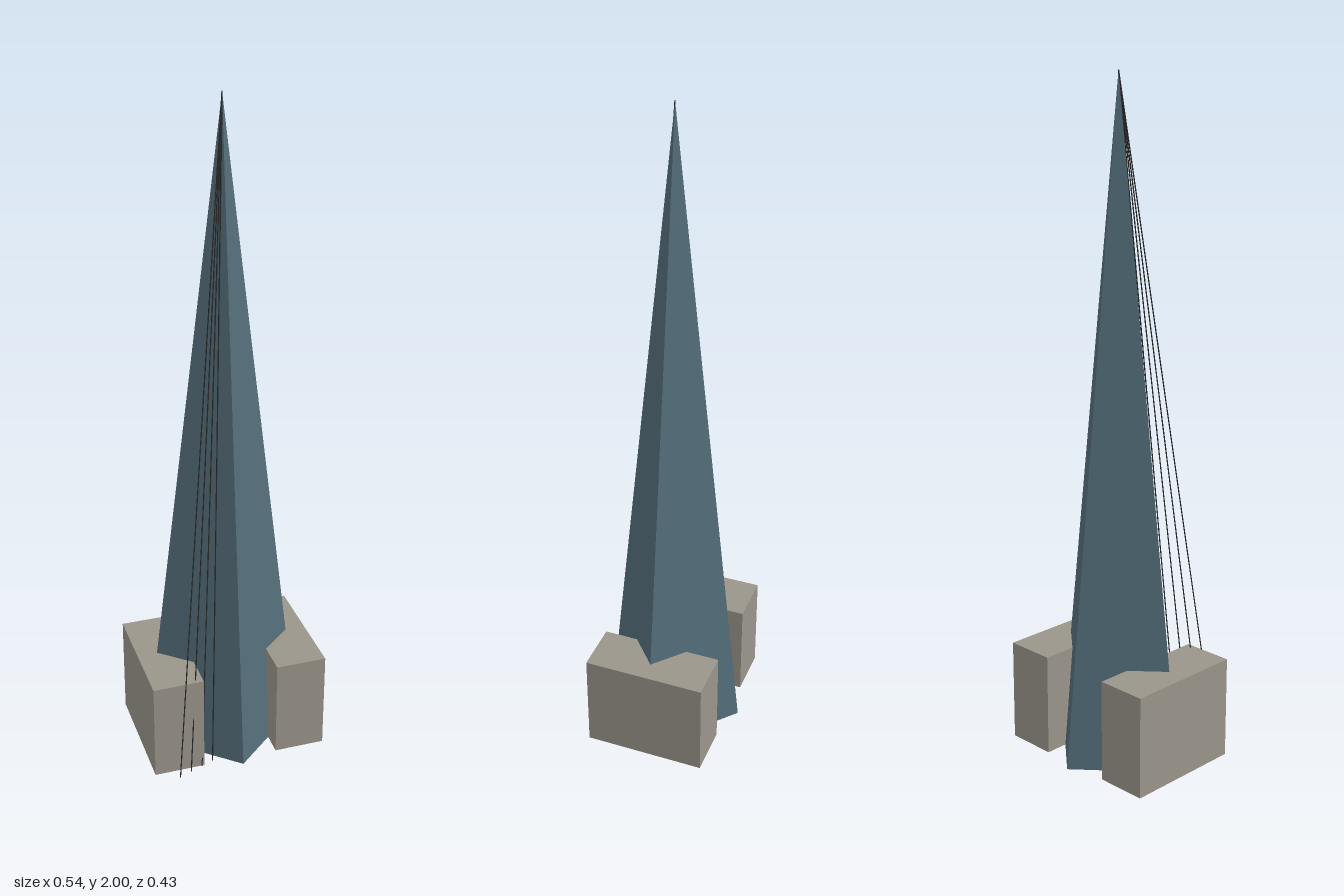
import * as THREE from 'three';

export function createModel() {
  const group = new THREE.Group();
  const centreZ = -0.002;
  const apex = new THREE.Vector3(0, 2, centreZ);
  const paint = (color) => new THREE.MeshStandardMaterial({ color, flatShading: true });
  const spireMat = paint(0x546e7a);
  const stoneMat = paint(0x9a958b);
  const cableMat = paint(0x2a2a2a);

  const add = (name, geometry, material) => {
    const mesh = new THREE.Mesh(geometry, material);
    mesh.name = name;
    group.add(mesh);
    return mesh;
  };

  // Four-sided spire with its corners on the x and z axes
  const spire = add('spire', new THREE.ConeGeometry(1, 2, 4), spireMat);
  spire.scale.set(0.246, 1, 0.215);
  spire.position.set(0, 1, centreZ);

  // Side blocks the spire is set into
  for (const side of [1, -1]) {
    const block = add(side > 0 ? 'leftBlock' : 'rightBlock',
      new THREE.BoxGeometry(0.154, 0.31, 0.368), stoneMat);
    block.position.set(side * 0.192, 0.155, centreZ);
  }

  // Fan of thin cables from the apex down to the front right corner
  for (let i = 0; i < 4; i++) {
    const foot = new THREE.Vector3(-0.2 + i * 0.0385, 0, 0.214 - i * 0.0153);
    const dir = apex.clone().sub(foot);
    const cable = add('cable' + (i + 1),
      new THREE.CylinderGeometry(0.0018, 0.0018, dir.length(), 6), cableMat);
    cable.position.copy(foot).add(apex).multiplyScalar(0.5);
    cable.quaternion.setFromUnitVectors(new THREE.Vector3(0, 1, 0), dir.normalize());
  }

  return group;
}
